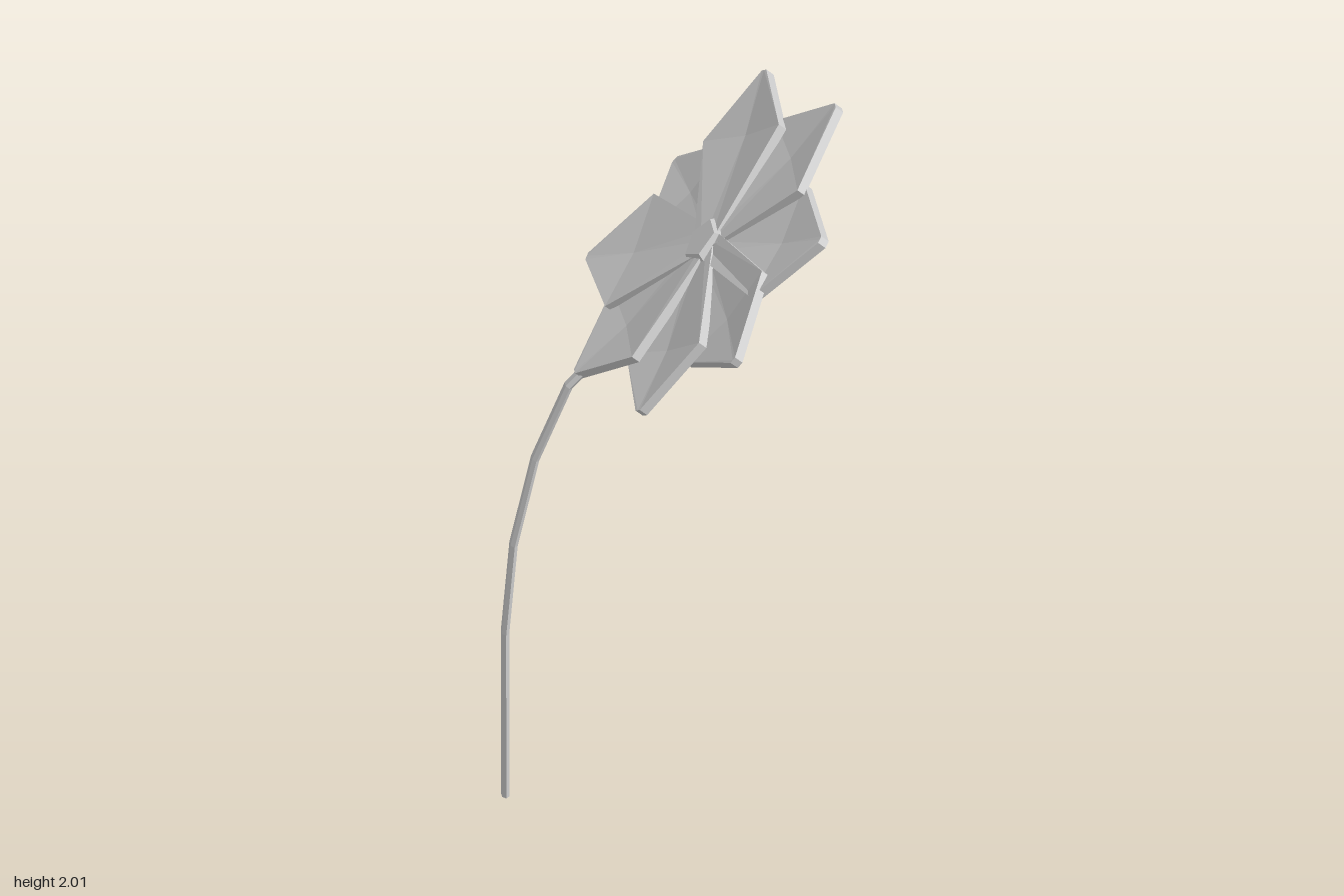
import * as THREE from 'three';

const material = new THREE.MeshStandardMaterial({ color: 0xcccccc, flatShading: true });

function makeMesh(name, geometry) {
  const flat = geometry.toNonIndexed();
  flat.computeVertexNormals();
  const mesh = new THREE.Mesh(flat, material);
  mesh.name = name;
  return mesh;
}

// Visit every vertex and replace it by fn(v)
function deform(geometry, fn) {
  const p = geometry.attributes.position;
  const v = new THREE.Vector3();
  for (let i = 0; i < p.count; i++) {
    fn(v.fromBufferAttribute(p, i));
    p.setXYZ(i, v.x, v.y, v.z);
  }
  return geometry;
}

// Flattened six-sided stem that bends over towards the flower head
function createStem() {
  const path = [
    [-0.435, 0, -0.005], [-0.435, 0.49, -0.007], [-0.412, 0.75, -0.013],
    [-0.355, 1.0, -0.019], [-0.27, 1.22, -0.006], [-0.215, 1.285, 0],
  ].map((p) => new THREE.Vector3(...p));
  const last = path.length - 1;
  const geometry = new THREE.CylinderGeometry(1, 1, 1, 6, last);
  return makeMesh('stem', deform(geometry, (v) => {
    const i = Math.round((v.y + 0.5) * last);
    const dir = path[Math.min(i + 1, last)].clone().sub(path[Math.max(i - 1, 0)]);
    dir.z = 0;
    dir.normalize();
    if (i === 0) dir.set(0, 1, 0);
    const dx = v.x * 0.011;
    const dz = v.z * 0.02;
    v.copy(path[i]).add(new THREE.Vector3(dx * dir.y, -dx * dir.x, dz));
  }));
}

// Diamond petal with a ridge along the middle: rows at base, waist and tip
function createPetal([u, lift, w, twist]) {
  const length = Math.hypot(u, w);
  const rows = [
    { along: -0.02, half: 0.035, lift: 0, ridge: 0 },
    { along: length * 0.63, half: 0.17, lift: lift * 0.7, ridge: 0.015 },
    { along: length, half: 0.01, lift, ridge: 0 },
  ];
  const thickness = 0.026;
  const geometry = new THREE.BoxGeometry(1, thickness, 1, 2, 1, 2);
  deform(geometry, (v) => {
    const row = rows[Math.round((v.x + 0.5) * 2)];
    const side = Math.round(v.z * 2);
    const y = v.y + row.lift + (side === 0 ? row.ridge : side * twist * row.half / 0.17);
    v.set(row.along, y, side * row.half);
  });
  geometry.rotateY(-Math.atan2(w, u));
  return makeMesh('petal', geometry);
}

// Flower head: local x runs up the head, local y points out of its face
function createHead() {
  const head = new THREE.Group();
  head.name = 'flowerHead';

  // Tip of each petal: up, out of the face, across; then the twist
  const petals = [
    [0.51, 0.004, 0, -0.004],
    [0.323, 0.04, -0.385, 0],
    [-0.046, 0.045, -0.49, -0.018],
    [-0.365, 0.03, -0.33, 0],
    [-0.495, -0.008, 0, 0],
    [-0.345, -0.028, 0.355, 0],
    [-0.037, 0.03, 0.485, 0],
    [0.35, -0.03, 0.355, 0],
  ];
  for (const petal of petals) head.add(createPetal(petal));

  // Faceted centre with a flat pentagon facing outwards
  const centre = new THREE.DodecahedronGeometry(0.095, 0);
  centre.rotateX(-Math.atan(2 / (1 + Math.sqrt(5))));
  centre.rotateY(Math.PI / 2);
  centre.scale(1, 0.8, 1);
  centre.translate(0, 0.036, 0);
  const bud = new THREE.Mesh(centre, material);
  bud.name = 'flowerCentre';
  head.add(bud);

  const up = new THREE.Vector3(0.666, 0.746, 0).normalize();
  const out = new THREE.Vector3(up.y, -up.x, 0);
  const basis = new THREE.Matrix4().makeBasis(up, out, new THREE.Vector3(0, 0, -1));
  head.quaternion.setFromRotationMatrix(basis);
  head.position.set(0.09, 1.62, 0);
  return head;
}

export function createModel() {
  const model = new THREE.Group();
  model.name = 'flower';
  model.add(createStem(), createHead());
  return model;
}
